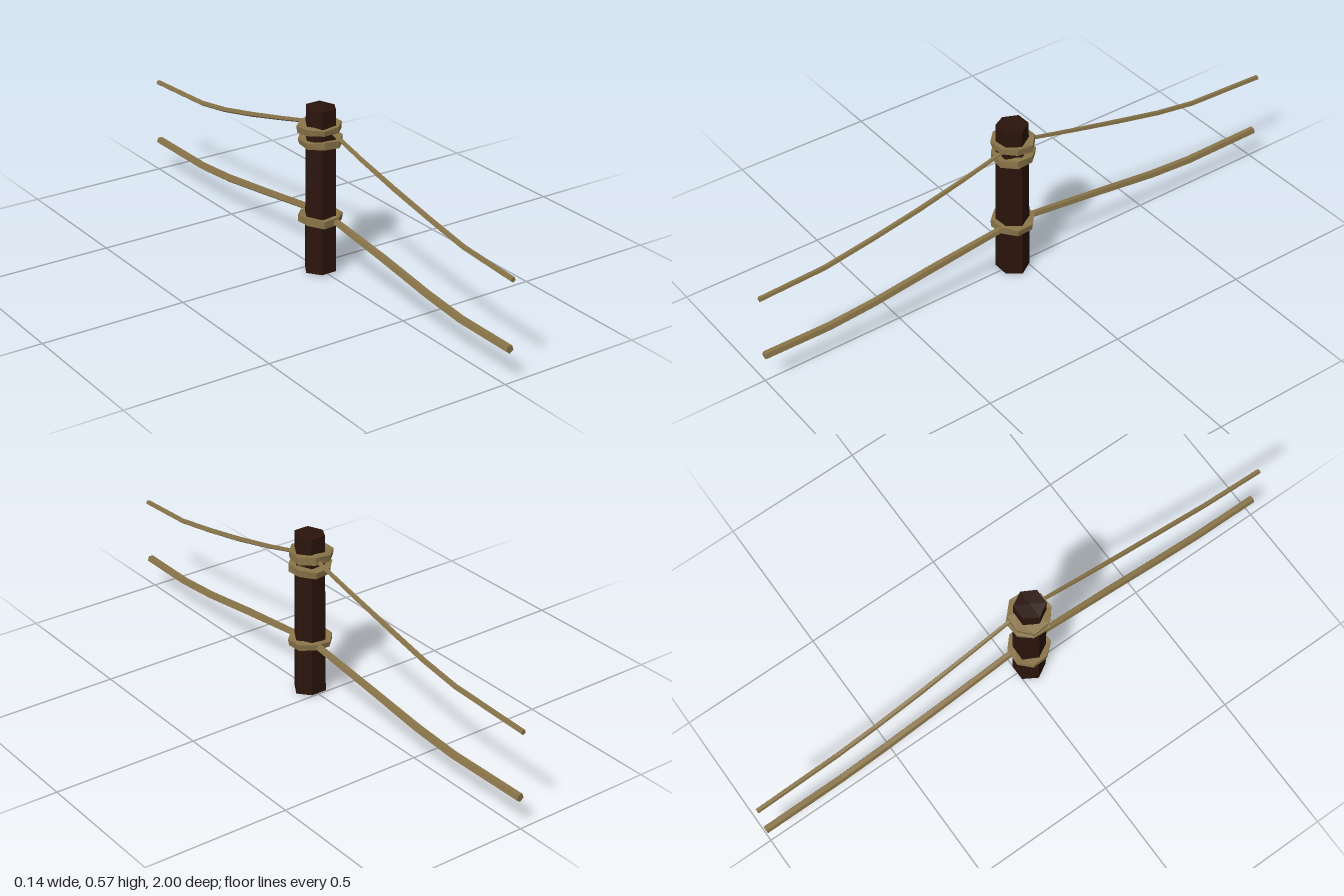
import * as THREE from 'three';

const WOOD = new THREE.MeshStandardMaterial({ color: 0x2b140c, flatShading: true, roughness: 1 });
const ROPE = new THREE.MeshStandardMaterial({ color: 0x8a7549, flatShading: true, roughness: 1 });

// Repeatable unevenness in -1..1
const wobble = (n) => Math.sin(n * 12.9898 + 4.1) * Math.cos(n * 7.233);

function add(parent, name, geometry, material) {
  const mesh = new THREE.Mesh(geometry, material);
  mesh.name = name;
  parent.add(mesh);
  return mesh;
}

// Rough six-sided post with corners to the left and right and uneven ends
function postGeometry() {
  const profile = [[0, 0.006], [0.057, 0.006], [0.055, 0.3], [0.053, 0.574], [0, 0.574]];
  const geo = new THREE.LatheGeometry(profile.map(([r, y]) => new THREE.Vector2(r, y)), 6, Math.PI / 6);
  const p = geo.attributes.position;
  for (let i = 0; i < p.count; i++) {
    const x = p.getX(i), y = p.getY(i);
    const atSide = Math.abs(x) > 0.045;
    if (atSide && y < 0.1) p.setY(i, x > 0 ? 0 : 0.003);
    if (atSide && y > 0.5) p.setY(i, 0.57);
  }
  return geo.toNonIndexed();
}

// Chunky wrapped band: a four-sided ring with uneven corners
function bandGeometry(seed) {
  const sides = 8;
  const profile = [[0.045, -0.01], [0.072, -0.012], [0.074, 0.011], [0.045, 0.011], [0.045, -0.01]];
  const geo = new THREE.LatheGeometry(profile.map(([r, y]) => new THREE.Vector2(r, y)), sides, Math.PI / 8);
  const p = geo.attributes.position;
  for (let i = 0; i < p.count; i++) {
    const side = Math.floor(i / profile.length) % sides;
    const corner = (i % profile.length) % 4;
    const k = seed * 31 + side * 4 + corner;
    const s = 1 + 0.05 * wobble(k);
    p.setXYZ(i, p.getX(i) * s, p.getY(i) + 0.005 * wobble(k + 0.5), p.getZ(i) * s);
  }
  return geo.toNonIndexed();
}

// Sagging rope: a capped five-sided cylinder whose rows follow [z, x, y, radius]
function ropeGeometry(path) {
  const n = path.length - 1;
  const geo = new THREE.CylinderGeometry(1, 1, 1, 5, n).rotateX(Math.PI / 2);
  const p = geo.attributes.position;
  for (let i = 0; i < p.count; i++) {
    const [z, x, y, r] = path[Math.round((p.getZ(i) + 0.5) * n)];
    p.setXYZ(i, x + p.getX(i) * r, y + p.getY(i) * r, z);
  }
  return geo.toNonIndexed();
}

export function createModel() {
  const group = new THREE.Group();
  group.name = 'ropeFencePost';

  add(group, 'post', postGeometry(), WOOD).position.set(0, 0, 0.047);

  // Rope wrappings around the post
  [['topBand', 0.505], ['secondBand', 0.46], ['lowerBand', 0.191]].forEach(([name, y], i) => {
    add(group, name, bandGeometry(i + 1), ROPE).position.set(-0.001, y, 0.044);
  });

  // Ropes hanging away to the front and back, listed from back to front
  const upper = [
    [-1, 0.009, 0.337, 0.009], [-0.7, 0.01, 0.35, 0.009], [-0.55, 0.01, 0.373, 0.009],
    [-0.38, 0.01, 0.41, 0.009], [-0.2, 0.012, 0.453, 0.008], [-0.02, 0.014, 0.498, 0.007],
    [0.1, 0.016, 0.492, 0.007], [0.25, 0.017, 0.453, 0.008], [0.42, 0.018, 0.414, 0.009],
    [0.6, 0.018, 0.379, 0.009], [0.77, 0.017, 0.35, 0.009], [1, 0.014, 0.337, 0.009],
  ];
  const lower = [
    [-1, 0.008, 0.112, 0.014], [-0.7, 0.009, 0.111, 0.014], [-0.53, 0.01, 0.124, 0.014],
    [-0.3, 0.011, 0.154, 0.013], [-0.02, 0.015, 0.191, 0.012], [0.1, 0.018, 0.19, 0.012],
    [0.38, 0.018, 0.157, 0.014], [0.6, 0.017, 0.127, 0.014], [0.77, 0.015, 0.112, 0.014],
    [1, 0.013, 0.112, 0.014],
  ];
  add(group, 'upperRope', ropeGeometry(upper), ROPE);
  add(group, 'lowerRope', ropeGeometry(lower), ROPE);
  return group;
}
